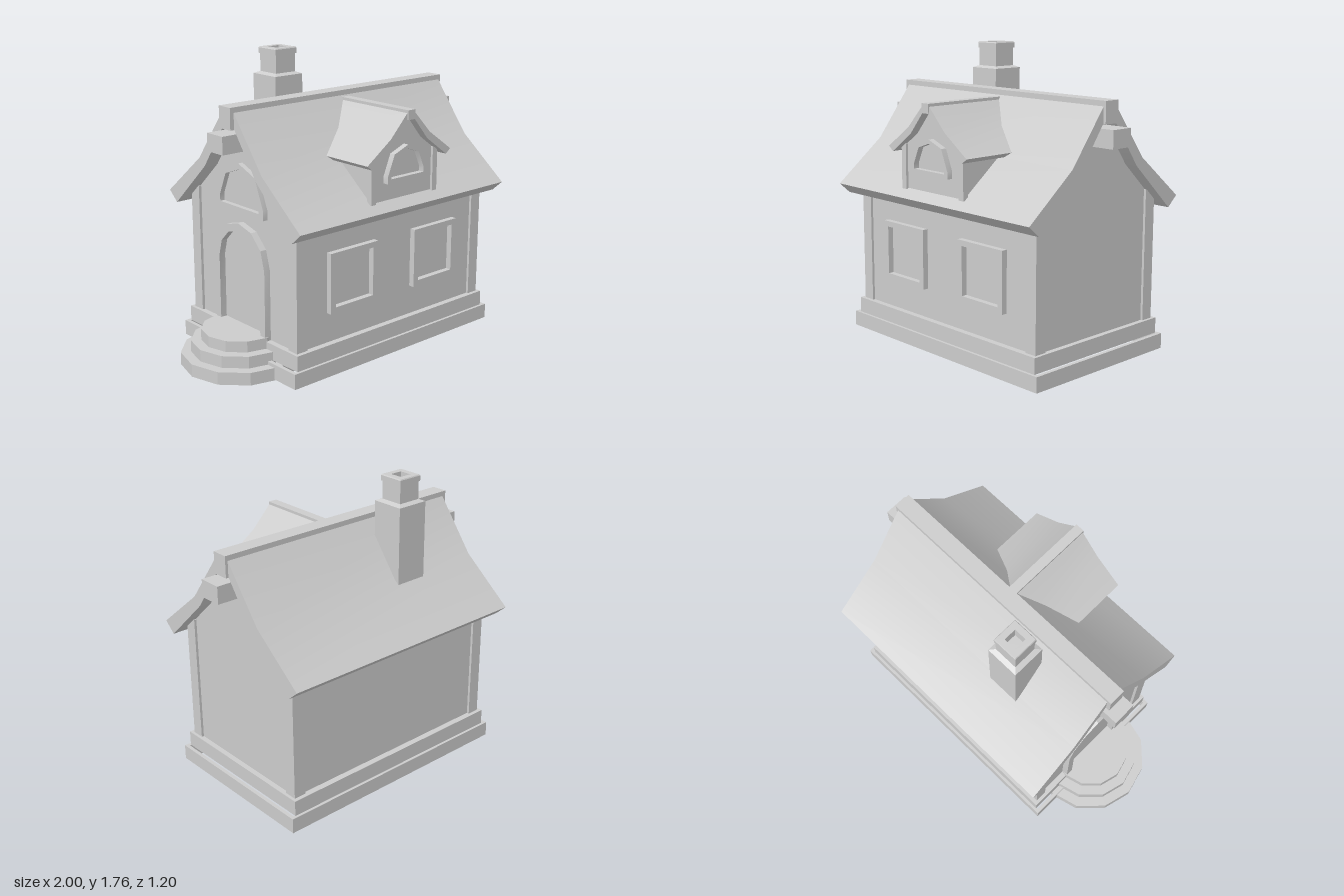
import * as THREE from 'three';
import { toCreasedNormals } from 'three/addons/utils/BufferGeometryUtils.js';

const CX = 0.107; // middle of the house along x

export function createModel() {
  const house = new THREE.Group();
  house.name = 'cottage';
  const material = new THREE.MeshStandardMaterial({ color: 0xcccccc });

  const add = (name, geometry, parent = house) => {
    const mesh = new THREE.Mesh(geometry, material);
    mesh.name = name;
    parent.add(mesh);
    return mesh;
  };
  const box = (name, x0, x1, y0, y1, z0, z1) =>
    add(name, new THREE.BoxGeometry(x1 - x0, y1 - y0, z1 - z0)
      .translate((x0 + x1) / 2, (y0 + y1) / 2, (z0 + z1) / 2));
  const toVectors = (points) => points.map(([x, y]) => new THREE.Vector2(x, y));
  const mirrorX = (points) => points.map(([x, y]) => [-x, y]).reverse();
  const rect = (w, y0, y1) => [[-w, y0], [w, y0], [w, y1], [-w, y1]];
  const extrude = (points, depth, hole) => {
    const shape = new THREE.Shape(toVectors(points));
    if (hole) shape.holes.push(new THREE.Path(toVectors(hole)));
    const geometry = new THREE.ExtrudeGeometry(shape, { depth, bevelEnabled: false });
    return toCreasedNormals(geometry, 0.45);
  };

  // Hollow two-tier plinth, closed by a thin floor at its top
  const ring = (name, halfX, halfZ, y0, y1, t) => {
    const r = (a, b) => [[-a, -b], [a, -b], [a, b], [-a, b]];
    add(name, extrude(r(halfX, halfZ), y1 - y0, r(halfX - t, halfZ - t))
      .rotateX(-Math.PI / 2).translate(CX, y0, 0));
  };
  ring('lowerPlinth', 0.79, 0.521, 0.005, 0.095, 0.022);
  ring('upperPlinth', 0.758, 0.504, 0.095, 0.187, 0.025);
  box('floor', CX - 0.74, CX + 0.74, 0.177, 0.186, -0.485, 0.485);

  // Walls with gables, one cross-section along the length
  const wallSide = [[0.465, 0.18], [0.465, 0.95], [0.26, 1.14], [0.05, 1.42]];
  add('walls', extrude([...wallSide, ...mirrorX(wallSide)], 1.447)
    .rotateY(Math.PI / 2).translate(-0.615, 0, 0));

  // Corner posts
  for (const x of [-0.632, 0.772]) {
    for (const z of [-0.48, 0.405]) box('cornerPost', x, x + 0.075, 0.18, 0.96, z, z + 0.075);
  }

  // Main roof: two flared slopes, ridge cap and the beam below it
  const slope = [[0.03, 1.41], [0.05, 1.385], [0.235, 1.125], [0.53, 0.85],
    [0.6, 0.912], [0.285, 1.165], [0.05, 1.475], [0.03, 1.475]];
  for (const points of [slope, mirrorX(slope)]) {
    add('roofSlope', extrude(points, 1.617).rotateY(Math.PI / 2).translate(-0.705, 0, 0));
  }
  box('ridgeCap', -0.73, 0.928, 1.38, 1.505, -0.05, 0.05);
  box('ridgeBeam', -0.8, 1.0, 1.257, 1.36, -0.07, 0.07);

  // Chimney with a slight shoulder and an open cap
  const chimney = new THREE.Group();
  chimney.name = 'chimney';
  chimney.position.set(-0.182, 0, -0.213);
  house.add(chimney);
  const profile = [[0.101, 1.12], [0.101, 1.602], [0.072, 1.614], [0.072, 1.72], [0.078, 1.72],
    [0.078, 1.752], [0.074, 1.758], [0.038, 1.758], [0.038, 1.68], [0, 1.68]];
  const stack = new THREE.LatheGeometry(
    toVectors(profile.map(([r, y]) => [r * Math.SQRT2, y])), 4).rotateY(Math.PI / 4);
  add('chimneyStack', toCreasedNormals(stack, 0.1), chimney);

  // Square front windows
  for (const x of [-0.222, 0.434]) {
    add('frontWindowFrame', extrude(rect(0.179, 0.363, 0.718), 0.05, rect(0.143, 0.398, 0.685))
      .translate(x, 0, 0.45));
  }

  // Low arched window outline, shared by dormer and gable
  const lowArch = (w, h, y) => [[-w, y], [w, y], [w, y + h * 0.2], [w * 0.68, y + h * 0.8],
    [0, y + h], [-w * 0.68, y + h * 0.8], [-w, y + h * 0.2]];

  // Dormer: body, posts, window, flared roof and ridge
  const dormer = new THREE.Group();
  dormer.name = 'dormer';
  dormer.position.x = CX;
  house.add(dormer);
  const dormerSide = [[0.25, 0.96], [0.25, 1.2], [0.14, 1.29], [0.02, 1.42]];
  add('dormerBody', extrude([...dormerSide, ...mirrorX(dormerSide)], 0.44)
    .translate(0, 0, 0.1), dormer);
  for (const s of [-1, 1]) {
    add('dormerPost', new THREE.BoxGeometry(0.037, 0.26, 0.035)
      .translate(s * 0.243, 1.085, 0.5375), dormer);
  }
  add('dormerWindowFrame', extrude(lowArch(0.155, 0.203, 1.063), 0.055, lowArch(0.128, 0.155, 1.088))
    .translate(0, 0, 0.52), dormer);
  const dormerSlope = [[0.015, 1.425], [0.03, 1.41], [0.135, 1.285], [0.295, 1.17],
    [0.33, 1.197], [0.155, 1.32], [0.03, 1.45], [0.015, 1.45]];
  for (const points of [dormerSlope, mirrorX(dormerSlope)]) {
    add('dormerRoofSlope', extrude(points, 0.552).translate(0, 0, 0.04), dormer);
  }
  add('dormerRidge', new THREE.BoxGeometry(0.056, 0.055, 0.56).translate(0, 1.439, 0.318), dormer);

  // Arched door frame and gable window on the entrance side
  const arch = (w, y0, spring) => {
    const points = [[-w, y0], [w, y0]];
    for (let i = 0; i <= 6; i++) {
      const a = (i / 6) * Math.PI;
      points.push([w * Math.cos(a), spring + w * Math.sin(a)]);
    }
    return points;
  };
  const onEntrance = (name, depth, outline, hole) =>
    add(name, extrude(outline, depth, hole).rotateY(-Math.PI / 2).translate(-0.6, 0, 0));
  onEntrance('doorFrame', 0.055, arch(0.23, 0.185, 0.6), arch(0.185, 0.19, 0.6));
  onEntrance('gableWindowFrame', 0.045, lowArch(0.215, 0.285, 0.89), lowArch(0.177, 0.218, 0.922));

  // Round entrance steps
  [[0.355, 0, 0.075], [0.295, 0.075, 0.145], [0.235, 0.145, 0.21]].forEach(([r, y0, y1]) => {
    const step = new THREE.CylinderGeometry(r, r, y1 - y0, 12).rotateY(Math.PI / 2);
    add('entranceStep', toCreasedNormals(step, 0.1).translate(-0.645, (y0 + y1) / 2, 0));
  });

  return house;
}
